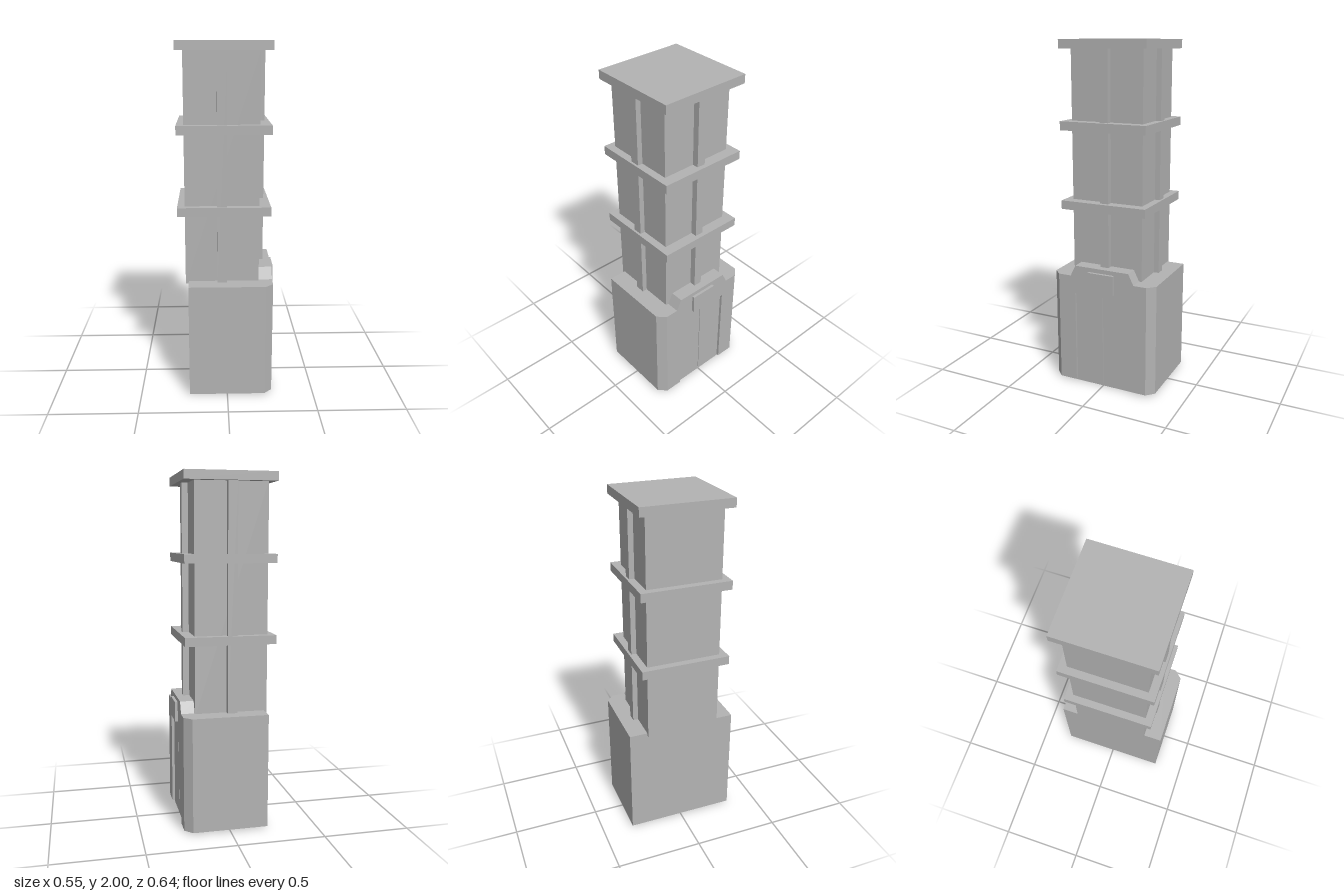
import * as THREE from 'three';

export function createModel() {
  const model = new THREE.Group();
  model.name = 'elevatorTower';
  const grey = new THREE.MeshStandardMaterial({ color: 0xb3b3b3 });
  grey.name = 'concreteGrey';

  const add = (name, geometry) => {
    const mesh = new THREE.Mesh(geometry, grey);
    mesh.name = name;
    model.add(mesh);
    return mesh;
  };
  // Box given by its limits on each axis
  const box = (name, [x0, x1], [y0, y1], [z0, z1]) => {
    const g = new THREE.BoxGeometry(x1 - x0, y1 - y0, z1 - z0);
    g.translate((x0 + x1) / 2, (y0 + y1) / 2, (z0 + z1) / 2);
    return add(name, g);
  };
  const extrude = (points, depth) => new THREE.ExtrudeGeometry(
    new THREE.Shape(points.map(([a, b]) => new THREE.Vector2(a, b))),
    { depth, bevelEnabled: false });

  // Base side blocks with a chamfered corner beside the entrance
  for (const s of [1, -1]) {
    const g = extrude([[-0.218, 0.2], [0.259, 0.2], [0.259, 0.278], [0.215, 0.322], [-0.218, 0.322]]
      .map(([x, z]) => [x, -s * z]), 0.66);
    g.rotateX(-Math.PI / 2).translate(0, 0.01, 0);
    add(s > 0 ? 'leftBaseBlock' : 'rightBaseBlock', g);
  }
  box('baseBackWall', [-0.218, -0.21], [0.01, 0.67], [-0.2, 0.2]);
  box('baseRoof', [-0.21, 0.18], [0.645, 0.67], [-0.2, 0.2]);

  // Entrance wall: door opening below, raised header above
  const portal = extrude([
    [-0.2, 0.01], [-0.172, 0.01], [-0.172, 0.565], [0.172, 0.565], [0.172, 0.01], [0.2, 0.01],
    [0.2, 0.67], [0.168, 0.735], [-0.168, 0.735], [-0.2, 0.67]], 0.079);
  portal.rotateY(Math.PI / 2).translate(0.18, 0, 0);
  add('entranceWall', portal);

  // Sliding doors, cab floor and sign plate
  for (const s of [1, -1]) {
    const z = [s * 0.002, s * 0.172].sort((a, b) => a - b);
    box(s > 0 ? 'leftDoor' : 'rightDoor', [0.21, 0.243], [0.01, 0.565], z);
  }
  box('doorGapBacking', [0.2, 0.212], [0.01, 0.565], [-0.172, 0.172]);
  box('cabFloor', [-0.04, 0.243], [0, 0.012], [-0.19, 0.19]);
  box('signPlate', [0.25, 0.275], [0.595, 0.71], [-0.08, 0.08]);

  // Shaft with vertical ribs on three sides
  box('shaft', [-0.235, 0.181], [0.655, 1.96], [-0.216, 0.216]);
  box('entranceRib', [0.17, 0.217], [0.655, 1.96], [-0.025, 0.025]);
  box('leftRib', [-0.055, 0], [0.655, 1.96], [0.2, 0.246]);
  box('rightRib', [-0.055, 0], [0.655, 1.96], [-0.246, -0.2]);

  // Floor slabs and roof
  [1.06, 1.51, 1.95].forEach((y, i) =>
    box(i === 2 ? 'roofSlab' : 'floorSlab' + (i + 1), [-0.276, 0.243], [y, y + 0.05], [-0.259, 0.259]));

  return model;
}
